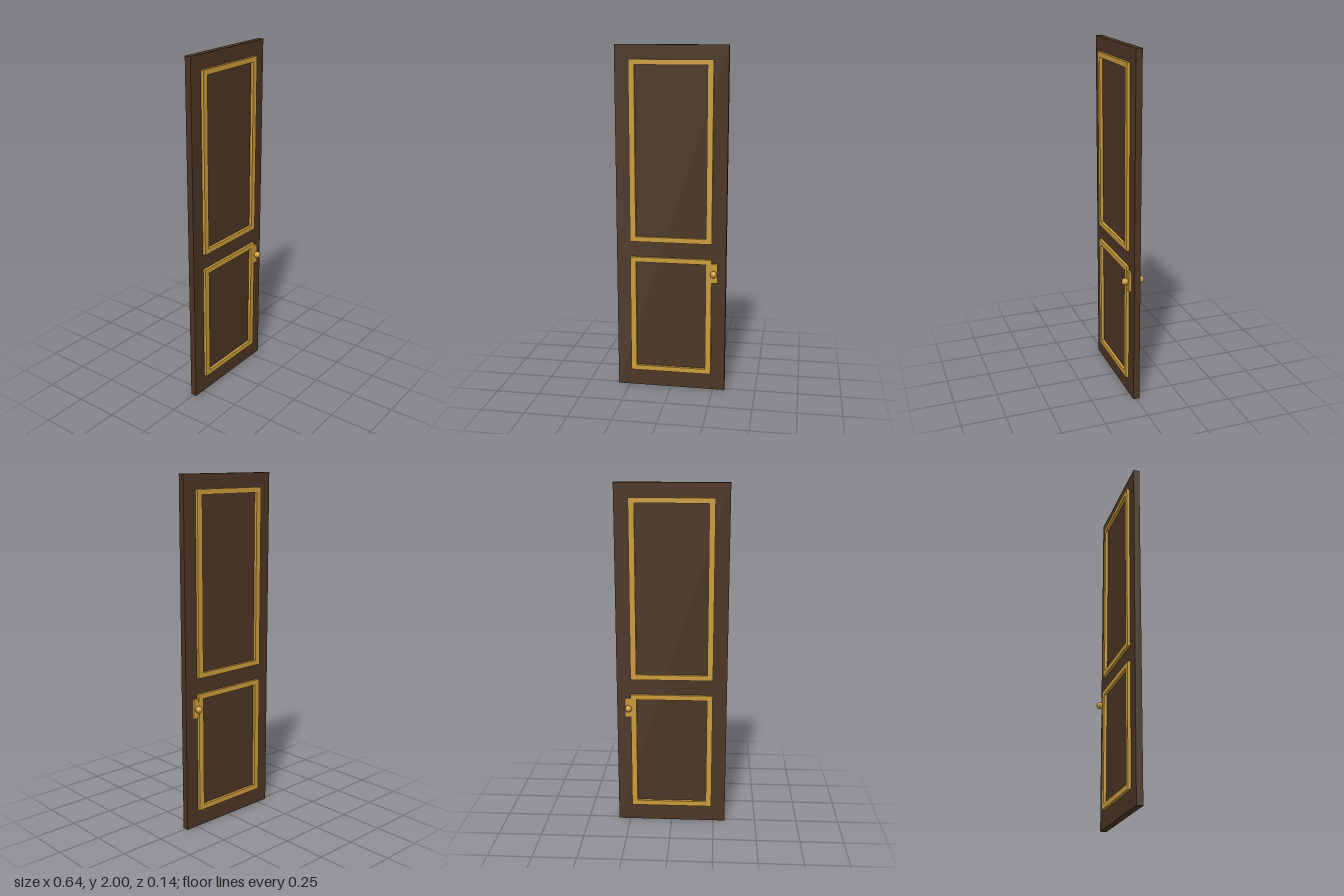
import * as THREE from 'three';

export function createModel() {
  const wood = new THREE.MeshStandardMaterial({ color: 0x4a3423 });
  wood.name = 'dark wood';
  const brass = new THREE.MeshStandardMaterial({ color: 0xc99b3a });
  brass.name = 'brass';

  const door = new THREE.Group();
  door.name = 'door';

  function add(name, geometry, material, x, y, z) {
    const mesh = new THREE.Mesh(geometry, material);
    mesh.name = name;
    mesh.position.set(x, y, z);
    door.add(mesh);
    return mesh;
  }

  // Rectangle corners, centred on x
  function rect(path, hw, y0, y1) {
    path.moveTo(-hw, y0);
    path.lineTo(hw, y0);
    path.lineTo(hw, y1);
    path.lineTo(-hw, y1);
    path.closePath();
    return path;
  }

  // Raised rectangular moulding, open in the middle
  function frameGeometry(y0, y1, depth) {
    const shape = rect(new THREE.Shape(), 0.237, y0, y1);
    shape.holes.push(rect(new THREE.Path(), 0.204, y0 + 0.029, y1 - 0.029));
    return new THREE.ExtrudeGeometry(shape, { depth, bevelEnabled: false });
  }

  // Door leaf
  add('doorLeaf', new THREE.BoxGeometry(0.637, 2, 0.036), wood, 0, 1, 0);

  // Mouldings and handles on both faces
  for (const [side, s] of [['front', 1], ['back', -1]]) {
    const z = s > 0 ? 0.0165 : -0.0345;
    add(side + 'UpperFrame', frameGeometry(0.89, 1.92, 0.018), brass, 0, 0, z);
    add(side + 'LowerFrame', frameGeometry(0.10, 0.798, 0.018), brass, 0, 0, z);
    add(side + 'HandlePlate', new THREE.BoxGeometry(0.037, 0.113, 0.015), brass, 0.253, 0.717, s * 0.0235);
    add(side + 'Knob', new THREE.SphereGeometry(0.0205, 8, 8), brass, 0.25, 0.717, s * 0.047);
  }
  return door;
}
